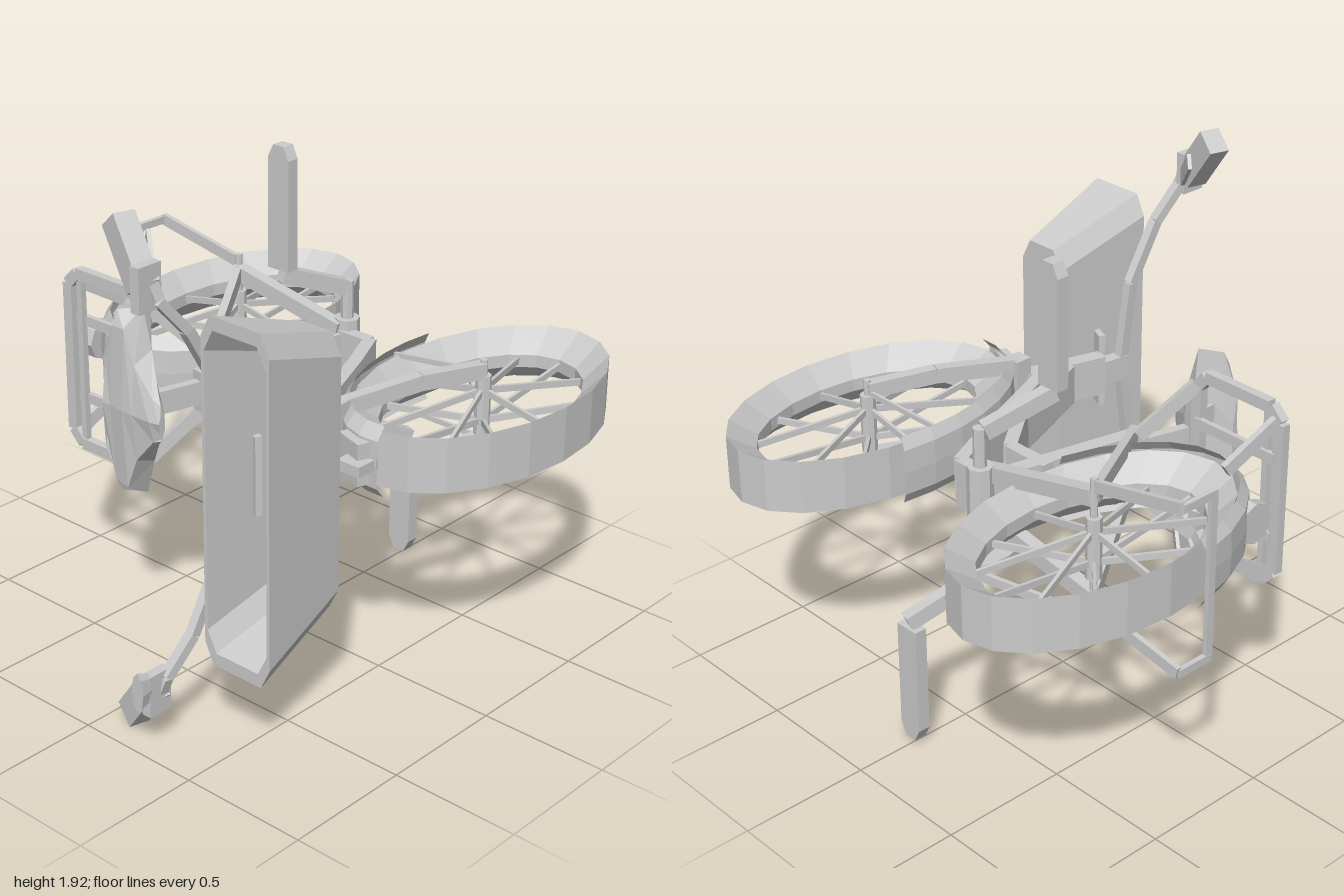
import * as THREE from 'three';

// The bicycle lies on its side: forward is +x, its upward direction is +z,
// and its width runs along y with the middle plane at y = 1.
const MID = 1, SQUASH = 0.62;
const REAR = [-0.59, MID, -0.41], FRONT = [0.62, MID, -0.41];

export function createModel() {
  const model = new THREE.Group();
  const mat = new THREE.MeshStandardMaterial({ color: 0xcccccc, flatShading: true });
  const open = new THREE.MeshStandardMaterial({ color: 0xcccccc, flatShading: true, side: THREE.DoubleSide });

  const add = (name, geo, parent = model, m = mat) => {
    const mesh = new THREE.Mesh(geo, m);
    mesh.name = name;
    parent.add(mesh);
    return mesh;
  };
  const group = (name) => {
    const g = new THREE.Group();
    g.name = name;
    model.add(g);
    return g;
  };

  // Box between two points: w across the bicycle, t in its plane
  function beam(name, a, b, w, t, parent) {
    const A = new THREE.Vector3(...a), B = new THREE.Vector3(...b);
    const dir = B.clone().sub(A), len = dir.length();
    dir.normalize();
    const side = Math.abs(dir.y) > 0.8 ? new THREE.Vector3(1, 0, 0) : new THREE.Vector3(0, 1, 0);
    side.addScaledVector(dir, -side.dot(dir)).normalize();
    const third = side.clone().cross(dir);
    const mesh = add(name, new THREE.BoxGeometry(w, len, t), parent);
    mesh.quaternion.setFromRotationMatrix(new THREE.Matrix4().makeBasis(side, dir, third));
    mesh.position.copy(A.add(B).multiplyScalar(0.5));
    return mesh;
  }
  const path = (name, pts, w, t, parent) => {
    for (let i = 0; i + 1 < pts.length; i++) beam(name, pts[i], pts[i + 1], w, t, parent);
  };
  const rod = (name, x, z, y0, y1, r, sides = 8, parent) => {
    const mesh = add(name, new THREE.CylinderGeometry(r, r, y1 - y0, sides), parent);
    mesh.position.set(x, (y0 + y1) / 2, z);
    return mesh;
  };
  const ring = (pts, seg, start, length) =>
    new THREE.LatheGeometry(pts.map((p) => new THREE.Vector2(...p)), seg, start, length).scale(SQUASH, 1, 1);
  const mirror = (p, s) => [p[0], MID + s * p[1], p[2]];

  // Wheels with tapered tyre, hub and spokes
  for (const [name, c] of [['rearWheel', REAR], ['frontWheel', FRONT]]) {
    const wheel = group(name);
    add('tyre', ring([[0.47, -0.025], [0.59, -0.105], [0.59, 0.105], [0.47, 0.025], [0.47, -0.025]], 20), wheel)
      .position.set(...c);
    rod('hub', c[0], c[2], 0.88, 1.12, 0.03, 8, wheel);
    for (let i = 0; i < 12; i++) {
      const a = (i * Math.PI) / 6, s = i % 2 ? 0.06 : -0.06;
      const end = [c[0] + Math.sin(a) * 0.48 * SQUASH, MID, c[2] + Math.cos(a) * 0.48];
      beam('spoke', [c[0], MID + s, c[2]], end, 0.025, 0.013, wheel);
    }
  }
  rod('rearAxle', REAR[0], REAR[2], 0.73, 1.27, 0.014);
  rod('frontAxle', FRONT[0], FRONT[2], 0.82, 1.18, 0.014);

  // Fenders
  const fender = [[0.6, -0.135], [0.64, -0.09], [0.645, 0], [0.64, 0.09], [0.6, 0.135]];
  add('rearFender', ring(fender, 10, -1.34, 2.6), model, open).position.set(...REAR);
  add('frontFender', ring(fender, 9, -1.8, 1.9), model, open).position.set(...FRONT);
  beam('frontLamp', [0.5, 1, 0.21], [0.62, 1, 0.25], 0.16, 0.05);
  beam('frontLampFace', [0.6, 1, 0.21], [0.6, 1, 0.31], 0.04, 0.1);
  add('rearLamp', new THREE.CylinderGeometry(0.08, 0.08, 0.05, 8).rotateZ(Math.PI / 2)).position.set(-0.84, 1, 0.1);

  // Frame
  const frame = group('frame');
  path('upperTube', [[-0.08, 1, -0.44], [0.06, 1, -0.44], [0.15, 1, -0.25], [0.37, 1, 0.27]], 0.18, 0.05, frame);
  path('lowerTube', [[-0.17, 1, -0.23], [0.03, 1, -0.23], [0.19, 1, -0.03], [0.34, 1, 0.35]], 0.16, 0.05, frame);
  beam('seatTube', [-0.08, 1, -0.47], [-0.22, 1, 0.2], 0.16, 0.06, frame);
  beam('seatPost', [-0.21, 1, 0.17], [-0.27, 1, 0.4], 0.09, 0.035, frame);
  beam('headTube', [0.43, 1, 0.13], [0.32, 1, 0.51], 0.16, 0.06, frame);
  for (const s of [1, -1]) {
    beam('chainStay', mirror([-0.59, 0.2, -0.41], s), mirror([-0.08, 0.09, -0.43], s), 0.06, 0.05, frame);
    beam('seatStay', mirror([-0.59, 0.2, -0.41], s), mirror([-0.23, 0.09, 0.14], s), 0.06, 0.03, frame);
    path('forkLeg', [[0.62, 0.14, -0.41], [0.53, 0.15, -0.16], [0.42, 0.12, 0.16]].map((p) => mirror(p, s)), 0.06, 0.045, frame);
    beam('fenderStay', mirror([0.62, 0.13, -0.41], s), mirror([0.24, 0.1, -0.37], s), 0.02, 0.012, frame);
  }
  beam('forkCrown', [0.42, 0.85, 0.16], [0.42, 1.15, 0.16], 0.07, 0.07, frame);

  // Crank set with pedals
  const crank = group('crankSet');
  rod('bottomBracket', -0.08, -0.47, 0.87, 1.13, 0.05, 8, crank);
  rod('crankAxle', -0.08, -0.47, 0.66, 1.28, 0.025, 8, crank);
  add('chainRing', new THREE.CylinderGeometry(0.16, 0.16, 0.03, 14).scale(SQUASH, 1, 1), crank).position.set(-0.08, 0.77, -0.46);
  add('sprocket', new THREE.CylinderGeometry(0.06, 0.06, 0.03, 10).scale(SQUASH, 1, 1), crank).position.set(-0.59, 0.77, -0.41);
  for (const s of [1, -1])
    beam('chainRun', [-0.59, 0.75, -0.41 + s * 0.05], [-0.08, 0.78, -0.46 + s * 0.15], 0.035, 0.018, crank);
  path('crankArm', [[-0.08, 1.26, -0.45], [-0.17, 1.36, -0.2]], 0.06, 0.05, crank);
  path('crankArm', [[-0.08, 0.68, -0.49], [0.01, 0.56, -0.75]], 0.06, 0.05, crank);
  for (const [x, z, y, s] of [[-0.17, -0.205, 1.38, 1], [0.005, -0.735, 0.54, -1]]) {
    const shape = new THREE.Shape([[-0.05, 0], [0.05, 0], [0.05, 0.43], [0.025, 0.48], [-0.025, 0.48], [-0.05, 0.43]]
      .map((p) => new THREE.Vector2(...p)));
    const geo = new THREE.ExtrudeGeometry(shape, { depth: 0.05, bevelEnabled: false }).translate(0, 0, -0.025);
    if (s < 0) geo.rotateZ(Math.PI);
    add('pedal', geo, crank).position.set(x, y, z);
  }

  // Saddle: cross-sections narrowing to the nose
  const sections = [ // x, half width, z bottom, z top
    [-0.41, 0.18, 0.47, 0.5], [-0.37, 0.36, 0.43, 0.5], [-0.3, 0.37, 0.37, 0.51],
    [-0.25, 0.22, 0.38, 0.51], [-0.16, 0.1, 0.44, 0.51], [-0.12, 0.07, 0.47, 0.5]];
  const verts = [], index = [];
  sections.forEach(([x, w, z0, z1], i) => {
    for (const [k, z] of [[-1, z0 + 0.02], [-0.4, z0], [0.4, z0], [1, z0 + 0.02], [0.85, z1 - 0.02], [0, z1], [-0.85, z1 - 0.02]])
      verts.push(x, MID + k * w, z);
    if (i) for (let j = 0; j < 7; j++) {
      const a = (i - 1) * 7 + j, b = (i - 1) * 7 + ((j + 1) % 7);
      index.push(a, b, b + 7, a, b + 7, a + 7);
    }
  });
  for (let j = 1; j < 6; j++) index.push(0, j + 1, j, 35, 35 + j, 36 + j);
  const saddle = new THREE.BufferGeometry();
  saddle.setAttribute('position', new THREE.Float32BufferAttribute(verts, 3));
  saddle.setIndex(index);
  saddle.computeVertexNormals();
  add('saddle', saddle, model, open);
  for (const s of [1, -1])
    beam('saddleSpring', mirror([-0.34, 0.12, 0.35], s), mirror([-0.34, 0.12, 0.45], s), 0.07, 0.04);

  // Luggage rack over the rear wheel
  const rack = group('luggageRack');
  const loop = [[-0.8, 0.3], [-0.75, 0.35], [-0.45, 0.35], [-0.41, 0.3]];
  const rim = [...loop.map((p) => [p[0], MID + p[1], 0.285]), ...loop.reverse().map((p) => [p[0], MID - p[1], 0.285])];
  path('rackRim', [...rim, rim[0]], 0.045, 0.035, rack);
  beam('rackBar', [-0.74, 0.67, 0.285], [-0.74, 1.33, 0.285], 0.025, 0.025, rack);
  for (const s of [1, -1]) {
    beam('rackBar', mirror([-0.79, 0.16, 0.27], s), mirror([-0.41, 0.16, 0.27], s), 0.04, 0.02, rack);
    beam('rackRearStrut', mirror([-0.79, 0.31, 0.27], s), mirror([-0.75, 0.18, 0.06], s), 0.05, 0.025, rack);
    beam('rackFrontStrut', mirror([-0.41, 0.31, 0.27], s), mirror([-0.29, 0.12, 0.1], s), 0.05, 0.025, rack);
    // Stand folded back behind the rear wheel
    beam('standLeg', mirror([-0.59, 0.24, -0.41], s), mirror([-0.99, 0.32, -0.4], s), 0.045, 0.02);
    beam('standFoot', mirror([-0.99, 0.32, -0.4], s), mirror([-0.99, 0.32, -0.25], s), 0.03, 0.02);
  }
  beam('standBar', [-0.99, 0.68, -0.26], [-0.99, 1.33, -0.26], 0.018, 0.03);

  // Handlebar with grips and brake levers
  const bar = group('handlebar');
  beam('stem', [0.33, 1, 0.48], [0.31, 1, 0.62], 0.1, 0.05, bar);
  const half = [[0.31, 0, 0.6], [0.3, 0.35, 0.64], [0.3, 0.57, 0.77], [0.28, 0.7, 0.88], [0.25, 0.8, 0.9]];
  for (const s of [1, -1]) {
    path('barTube', half.map((p) => mirror(p, s)), 0.035, 0.04, bar);
    beam('grip', mirror([0.24, 0.74, 0.9], s), mirror([0.09, 0.93, 0.86], s), 0.1, 0.08, bar);
    beam('brakeLever', mirror([0.26, 0.73, 0.87], s), mirror([0.13, 0.86, 0.77], s), 0.06, 0.015, bar);
    beam('gripClamp', mirror([0.26, 0.67, 0.91], s), mirror([0.26, 0.83, 0.91], s), 0.04, 0.1, bar);
  }
  add('bell', new THREE.CylinderGeometry(0.08, 0.06, 0.05, 8).rotateX(Math.PI / 2).scale(0.35, 1, 1), bar)
    .position.set(0.26, 0.28, 0.975);

  // Basket: chamfered shell, open towards +z
  const basket = group('basket');
  const outline = (hx, hy, z) => {
    const cx = 0.04, cy = 0.08;
    return [[hx, hy - cy], [hx - cx, hy], [cx - hx, hy], [-hx, hy - cy], [-hx, cy - hy], [cx - hx, -hy], [hx - cx, -hy], [hx, cy - hy]]
      .map(([x, y]) => [0.512 + x, MID + y, z]);
  };
  const rings = [outline(0.105, 0.52, 0.37), outline(0.15, 0.65, 0.77), outline(0.137, 0.6, 0.77), outline(0.098, 0.49, 0.4)];
  const shell = [];
  for (let r = 0; r < 3; r++) for (let j = 0; j < 8; j++) {
    const k = (j + 1) % 8, [p, q] = [rings[r], rings[r + 1]];
    shell.push(...p[j], ...p[k], ...q[k], ...p[j], ...q[k], ...q[j]);
  }
  for (let j = 1; j < 7; j++) {
    shell.push(...rings[0][0], ...rings[0][j + 1], ...rings[0][j]);
    shell.push(...rings[3][0], ...rings[3][j], ...rings[3][j + 1]);
  }
  const basketGeo = new THREE.BufferGeometry();
  basketGeo.setAttribute('position', new THREE.Float32BufferAttribute(shell, 3));
  basketGeo.computeVertexNormals();
  add('basketShell', basketGeo, basket);
  beam('basketBracket', [0.33, 1, 0.52], [0.42, 1, 0.56], 0.3, 0.025, basket);

  return model;
}
